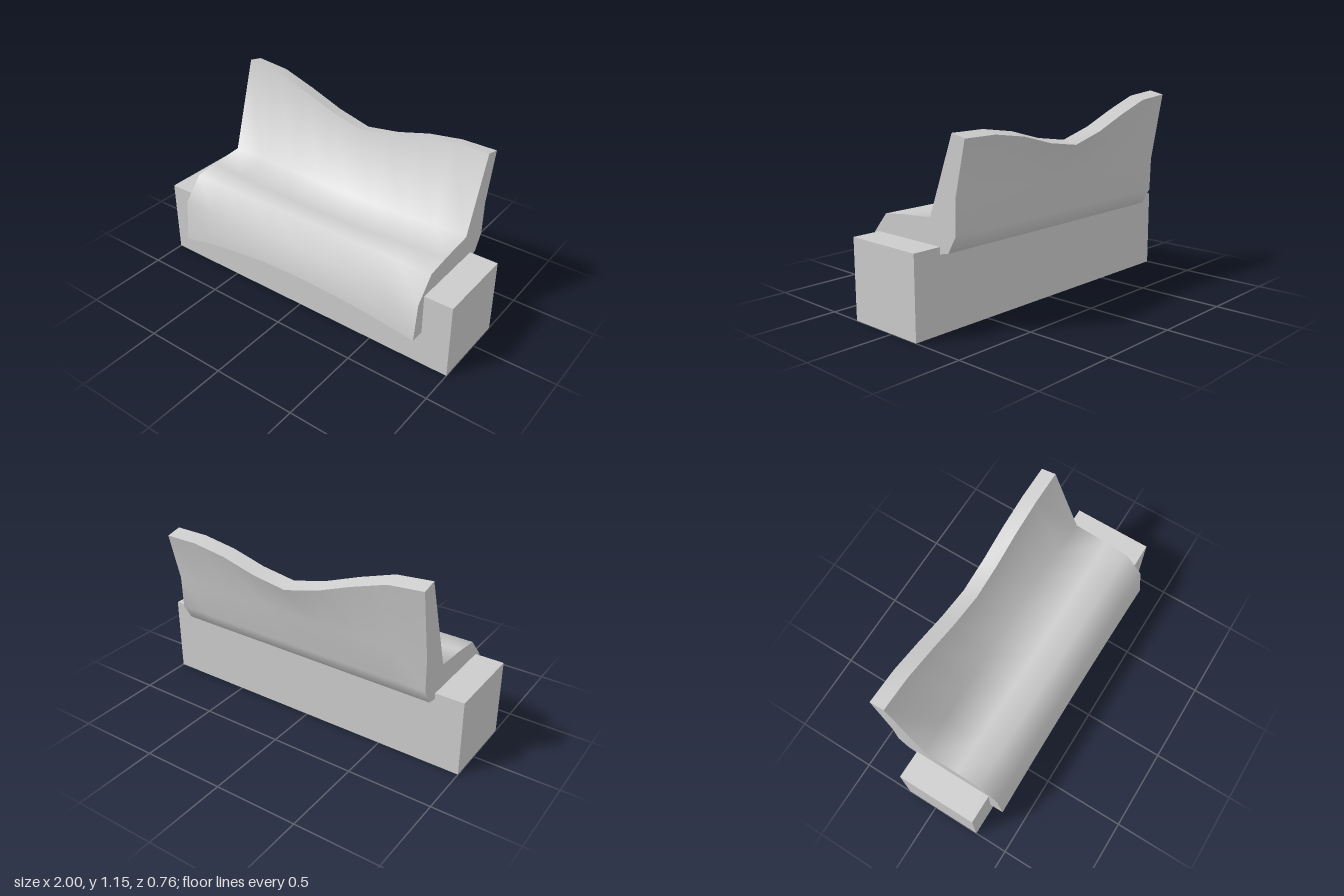
import * as THREE from 'three';

const material = new THREE.MeshStandardMaterial({ color: 0xcccccc });

// Nine stations along the width, with the wavy top and the curved front hem
const HALF = 0.83;
const topY = [1.15, 1.13, 1.06, 0.98, 0.925, 0.955, 1.01, 1.04, 1.04];
const hemY = [0.175, 0.22, 0.25, 0.272, 0.28, 0.276, 0.265, 0.245, 0.217];
const COUNT = topY.length;
const stationX = (i) => -HALF + (2 * HALF * i) / (COUNT - 1);

// Closed seat section as [z, y]: up the front, over the seat, up and down the back
function section(i) {
  const t = stationX(i) / HALF;
  const sag = 1 - t * t; // the seat dips towards the middle
  return [
    [0.38, hemY[i]], [0.35, 0.435], [0.235, 0.567],
    [0.09, 0.585 - 0.04 * sag], [-0.12 - 0.03 * sag, 0.6 - 0.044 * sag],
    [-0.29, topY[i]], [-0.38, topY[i] - 0.02],
    [-0.31, 0.725], [-0.305, 0.53], [-0.25, 0.435], [-0.18, 0.42],
    [0.2, 0.4], [0.27, 0.36], [0.28, hemY[i]],
  ];
}

// Smooth surface across the width between two points of the section
function strip(from, to) {
  const positions = [];
  const index = [];
  const n = to - from + 1;
  for (let i = 0; i < COUNT; i++) {
    const points = section(i);
    for (let j = from; j <= to; j++) {
      const [z, y] = points[j % points.length];
      positions.push(stationX(i), y, z);
    }
  }
  for (let i = 0; i < COUNT - 1; i++) {
    for (let j = 0; j < n - 1; j++) {
      const a = i * n + j;
      const b = a + n;
      index.push(a, b, a + 1, b, b + 1, a + 1);
    }
  }
  const geometry = new THREE.BufferGeometry();
  geometry.setAttribute('position', new THREE.Float32BufferAttribute(positions, 3));
  geometry.setIndex(index);
  geometry.computeVertexNormals();
  return geometry;
}

// Flat end of the seat; side is +1 for left, -1 for right
function endCap(side) {
  const points = section(side > 0 ? COUNT - 1 : 0);
  const shape = new THREE.Shape(points.map(([z, y]) => new THREE.Vector2(-side * z, y)));
  const geometry = new THREE.ShapeGeometry(shape);
  geometry.rotateY((side * Math.PI) / 2);
  geometry.translate(side * HALF, 0, 0);
  return geometry;
}

export function createModel() {
  const model = new THREE.Group();
  model.name = 'bench';
  const add = (parent, name, geometry) => {
    const mesh = new THREE.Mesh(geometry, material);
    mesh.name = name;
    parent.add(mesh);
    return mesh;
  };

  // Plinth
  add(model, 'base', new THREE.BoxGeometry(2, 0.46, 0.485)).position.set(0, 0.23, 0.0525);

  // Flowing seat and backrest, with hard edges between the strips
  const seat = new THREE.Group();
  seat.name = 'seatAndBackrest';
  model.add(seat);
  add(seat, 'seatFace', strip(0, 5));
  add(seat, 'backrestTop', strip(5, 6));
  add(seat, 'backrestRear', strip(6, 10));
  add(seat, 'seatUnderside', strip(10, 13));
  add(seat, 'frontHem', strip(13, 14));
  add(seat, 'leftEnd', endCap(1));
  add(seat, 'rightEnd', endCap(-1));

  return model;
}
